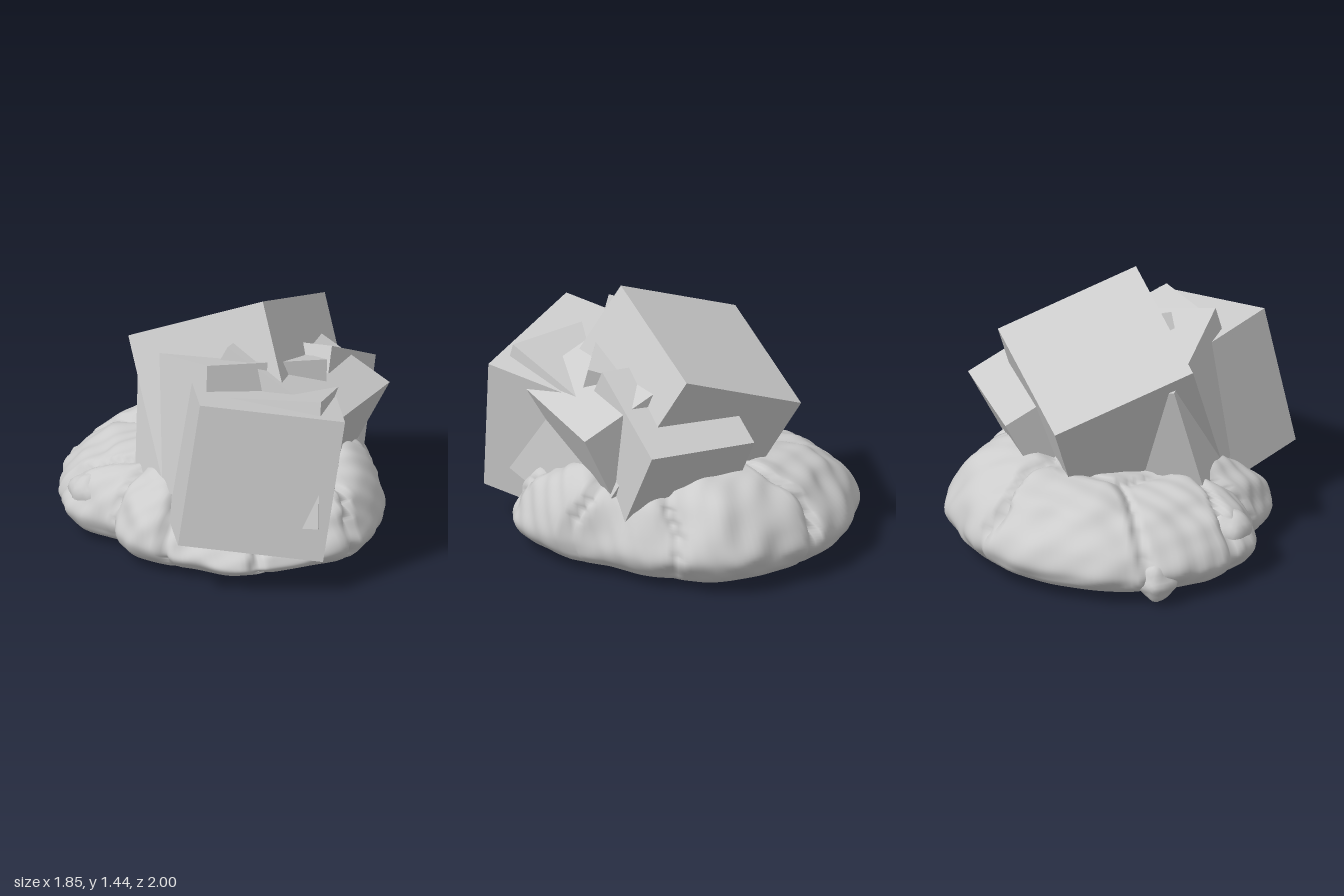
import * as THREE from 'three';
import { mergeVertices } from 'three/addons/utils/BufferGeometryUtils.js';

const stone = new THREE.MeshStandardMaterial({ color: 0xcccccc });
stone.name = 'pale stone';
const V = (a) => new THREE.Vector3(...a);

// Cube grown from one top corner along two top edges, then downward
function cubeFromCorner(name, size, corner, edgeA, edgeB) {
  const a = V(edgeA).normalize();
  const b = V(edgeB);
  b.addScaledVector(a, -a.dot(b)).normalize();
  const c = a.clone().cross(b);
  const down = c.y < 0 ? c.clone() : c.clone().negate();
  const mesh = new THREE.Mesh(new THREE.BoxGeometry(size, size, size), stone);
  mesh.name = name;
  mesh.quaternion.setFromRotationMatrix(new THREE.Matrix4().makeBasis(a, b, c));
  mesh.position.copy(V(corner)).addScaledVector(a, size / 2)
    .addScaledVector(b, size / 2).addScaledVector(down, size / 2);
  return mesh;
}

// Smooth periodic lookup of a table around the circle
function around(table, angle) {
  const n = table.length;
  const t = ((angle / (Math.PI * 2)) * n + n) % n;
  const i = Math.floor(t), f = t - i, s = f * f * (3 - 2 * f);
  return table[i % n] * (1 - s) + table[(i + 1) % n] * s;
}

// Rough base: a lathe reshaped by outline and height, split into boulders
function makeBoulder() {
  // starting at the front and turning toward +x
  const radius = [0.73, 0.8, 0.8, 0.93, 0.9, 0.83, 0.89, 0.99, 0.99, 0.98, 0.96, 0.95, 0.92, 0.86, 0.7, 0.76];
  const height = [0.32, 0.25, 0.25, 0.46, 0.57, 0.54, 0.54, 0.58, 0.58, 0.53, 0.51, 0.47, 0.46, 0.46, 0.47, 0.47];
  const outline = new THREE.CatmullRomCurve3([
    [0, 0], [0.45, 0], [0.78, 0], [0.89, 0.05], [0.96, 0.16], [1, 0.31], [0.96, 0.5],
    [0.88, 0.68], [0.78, 0.82], [0.64, 0.93], [0.48, 1], [0.25, 1], [0, 1],
  ].map(([r, y]) => V([r, y, 0])));
  const profile = outline.getPoints(80).map((p) => new THREE.Vector2(Math.max(0, p.x), Math.max(0, p.y)));
  // boulder centres seen from above, and how far each one swells
  const boulders = [
    [0.3, -0.8, 0.01], [-0.55, -0.62, 0.015], [-0.62, -0.02, -0.01], [-0.3, 0.52, 0], [0.15, 0.58, 0],
    [0.62, 0.52, 0], [0.8, 0.1, 0], [0.72, -0.4, 0], [-0.62, 0.38, -0.01], [0, 0, 0],
  ];

  let g = new THREE.LatheGeometry(profile, 180);
  g.deleteAttribute('uv');
  g.deleteAttribute('normal');
  g = mergeVertices(g, 1e-4);
  const pos = g.attributes.position;
  const p = new THREE.Vector3();
  for (let i = 0; i < pos.count; i++) {
    p.fromBufferAttribute(pos, i);
    const r = Math.hypot(p.x, p.z), level = p.y;
    const angle = Math.atan2(p.x, p.z) + Math.PI * 2;
    const rim = THREE.MathUtils.smoothstep(r, 0.1, 0.65);
    const H = THREE.MathUtils.lerp(0.46, around(height, angle), rim);
    // steeper shoulder on the +x side
    const R = around(radius, angle) * (1 + 0.7 * Math.max(0, Math.sin(angle)) * (1 - r) * level);
    p.set(p.x * R, 0.02 + level * (H - 0.02), p.z * R);

    // narrow cracks where two boulders meet, wobbling a little
    const wx = p.x + 0.04 * Math.sin(p.z * 9 + p.y * 8);
    const wz = p.z + 0.04 * Math.sin(p.x * 8 - p.y * 9);
    const [near, next] = boulders.map(([x, z, swell]) => ({ d: Math.hypot(x - wx, z - wz), swell }))
      .sort((a, b) => a.d - b.d);
    const crack = Math.sqrt(Math.min(1, (next.d - near.d) / 0.07));
    const ripple = Math.sin(p.x * 13 + 3 * p.y) * Math.sin(p.z * 12 + 1) * Math.cos(p.y * 15)
      + 0.5 * Math.sin(p.x * 27 + p.z * 17) * Math.sin(p.z * 25 - p.y * 23);
    const bump = (crack - 0.95) * 0.06 + near.swell * crack + ripple * 0.016;
    const side = Math.min(1, level * 6);
    const out = r > 0.001 ? bump * side * Math.min(1, r * 1.5) / (r * R) : 0;
    p.x *= 1 + out;
    p.z *= 1 + out;
    p.y += bump * level * 0.7;
    pos.setXYZ(i, p.x, p.y, p.z);
  }
  g.computeVertexNormals();
  const mesh = new THREE.Mesh(g, stone);
  mesh.name = 'boulderBase';
  return mesh;
}

// Small loose stones pressed into the rim
function makeRimStone(center, size, seed) {
  let g = new THREE.IcosahedronGeometry(1, 4);
  g.deleteAttribute('uv');
  g.deleteAttribute('normal');
  g = mergeVertices(g, 1e-4);
  const pos = g.attributes.position;
  for (let i = 0; i < pos.count; i++) {
    const x = pos.getX(i), y = pos.getY(i), z = pos.getZ(i);
    const k = 1 + 0.1 * Math.sin(x * 4 + seed) * Math.cos(z * 5 - seed) + 0.06 * Math.sin(y * 7 + seed * 2);
    pos.setXYZ(i, x * k, y * k, z * k);
  }
  g.scale(...size);
  g.computeVertexNormals();
  const mesh = new THREE.Mesh(g, stone);
  mesh.name = 'rimStone';
  mesh.position.set(...center);
  return mesh;
}

export function createModel() {
  const model = new THREE.Group();
  model.name = 'cubesOnBoulder';
  model.add(makeBoulder());

  // Rim stones
  [
    [[-0.84, 0.12, -0.26], [0.1, 0.11, 0.1]],
    [[-0.65, 0.21, 0.26], [0.13, 0.15, 0.13]],
  ].forEach(([c, s], i) => model.add(makeRimStone(c, s, i * 1.7 + 1)));

  // Tumbled, overlapping cubes
  model.add(
    cubeFromCorner('frontCube', 0.795, [0.105, 1.11, 0.85], [0.74, -0.13, -0.265], [-0.355, -0.137, -0.925]),
    cubeFromCorner('topCube', 0.82, [0.27, 1.435, 0.16], [-0.76, -0.31, -0.03], [0.13, -0.28, -0.76]),
    cubeFromCorner('middleCube', 0.745, [0.06, 1.197, 0.535], [-0.69, -0.245, -0.67], [0.745, -0.16, -0.65]),
    cubeFromCorner('backCube', 0.64, [0.685, 0.8, -0.645], [-0.625, -0.04, -0.085], [-0.09, 0.3, 0.565]),
    cubeFromCorner('leftCube', 0.72, [0.86, 0.825, -0.28], [-0.165, 0.085, 0.98], [-0.88, 0.44, -0.18]),
    cubeFromCorner('leftFrontCube', 0.695, [0.7, 1.067, 0.555], [-0.07, -0.27, -0.96], [-0.995, -0.03, 0.08]),
  );
  return model;
}
